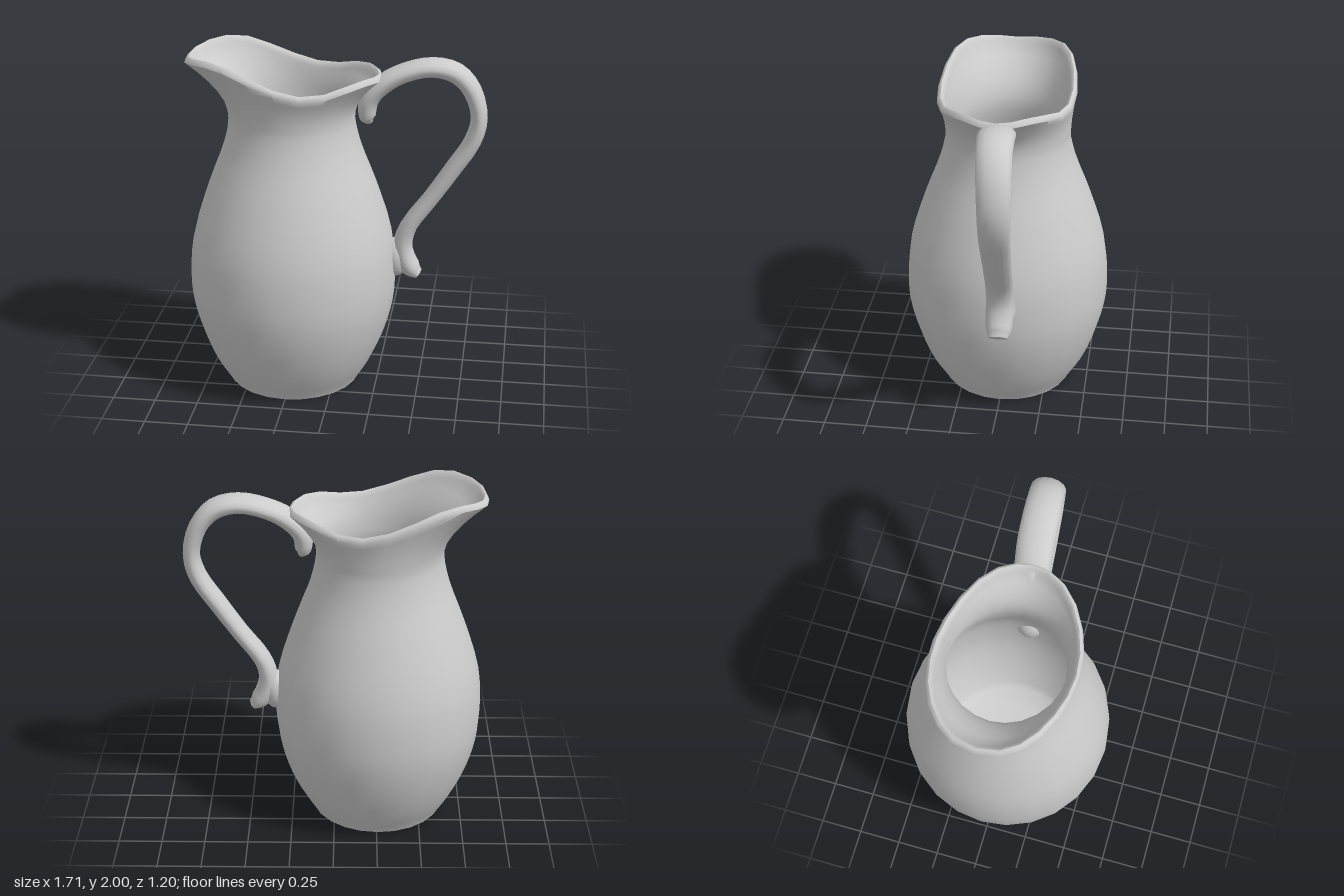
import * as THREE from 'three';
import { toCreasedNormals } from 'three/addons/utils/BufferGeometryUtils.js';

const SIDES = 24;

// Skin a list of closed rings (arrays of Vector3) into one smooth surface.
function loft(rings, crease) {
  const n = rings[0].length;
  const index = [];
  for (let r = 0; r < rings.length - 1; r++) {
    for (let i = 0; i < n; i++) {
      const j = (i + 1) % n;
      const a = r * n + i, b = r * n + j, c = a + n, d = b + n;
      index.push(a, c, b, b, c, d);
    }
  }
  const geometry = new THREE.BufferGeometry().setFromPoints(rings.flat());
  geometry.setIndex(index);
  return toCreasedNormals(geometry, crease);
}

// Round body ring: centre x, radius, height.
const CX = -0.255;
function circle(r, y) {
  return Array.from({ length: SIDES }, (_, i) => {
    const t = (i / SIDES) * Math.PI * 2;
    return new THREE.Vector3(CX + r * Math.cos(t), y, r * Math.sin(t));
  });
}

// Height of the wavy lip every 15 degrees, from handle side to spout.
const LIP_Y = [1.885, 1.89, 1.895, 1.88, 1.85, 1.845, 1.88, 1.935, 1.985, 2.0, 1.99, 1.975, 1.962];

// Lip ring, moved inward by inset and down by drop.
function lip(inset, drop) {
  return Array.from({ length: SIDES }, (_, i) => {
    const t = (i / SIDES) * Math.PI * 2;
    const c = Math.cos(t), s = Math.sin(t);
    const power = c < 0 ? 0.85 : 1.1; // broad spout, narrower handle end
    const z = Math.sign(s) * Math.pow(Math.abs(s), power);
    return new THREE.Vector3(
      -0.295 + (0.56 - inset) * c,
      LIP_Y[Math.min(i, SIDES - i)] - drop,
      0.01 + (0.4 - inset) * z
    );
  });
}

// Ring between the neck and the lip, flaring more towards the top.
function flare(neck, rim, s) {
  return neck.map((p, i) => {
    const q = rim[i], k = Math.pow(s, 1.6);
    return new THREE.Vector3(
      p.x + (q.x - p.x) * k,
      p.y + (q.y - p.y) * s,
      p.z + (q.z - p.z) * k
    );
  });
}

function bodyGeometry() {
  const wall = 0.035;
  const profile = new THREE.CatmullRomCurve3([
    [0.395, 0.015], [0.475, 0.15], [0.545, 0.32], [0.59, 0.5], [0.602, 0.66],
    [0.582, 0.9], [0.49, 1.2], [0.395, 1.45], [0.362, 1.6], [0.364, 1.66],
  ].map(([r, y]) => new THREE.Vector3(r, y, 0)));
  const side = profile.getPoints(27);

  // recessed foot, then the outer wall
  const rings = [circle(0, 0.03), circle(0.33, 0.025), circle(0.37, 0), circle(0.388, 0)];
  side.forEach((p) => rings.push(circle(p.x, p.y)));

  // flared neck and rounded lip
  const outerNeck = circle(0.364, 1.66), outerRim = lip(0, 0.03);
  [0.2, 0.4, 0.6, 0.8, 1].forEach((s) => rings.push(flare(outerNeck, outerRim, s)));
  rings.push(lip(0.008, 0.008), lip(0.022, 0), lip(0.038, 0.012));

  // inner wall down to the floor
  const innerNeck = circle(0.364 - wall, 1.66), innerRim = lip(0.045, 0.035);
  [1, 0.8, 0.6, 0.4, 0.2].forEach((s) => rings.push(flare(innerNeck, innerRim, s)));
  side.slice(2).reverse().forEach((p) => rings.push(circle(p.x - wall, p.y)));
  rings.push(circle(0.3, 0.06), circle(0, 0.055));
  return loft(rings, 0.85);
}

function handleGeometry() {
  // centre x, y, z, then half thickness and half width
  const stations = [
    [0.19, 1.6, 0.01, 0.02, 0.035],
    [0.178, 1.635, 0.01, 0.048, 0.07],
    [0.185, 1.73, 0.005, 0.056, 0.09],
    [0.26, 1.82, -0.005, 0.056, 0.1],
    [0.38, 1.887, -0.02, 0.052, 0.103],
    [0.535, 1.922, -0.03, 0.052, 0.102],
    [0.67, 1.89, -0.04, 0.055, 0.098],
    [0.76, 1.79, -0.05, 0.052, 0.095],
    [0.803, 1.63, -0.055, 0.048, 0.09],
    [0.77, 1.49, -0.053, 0.05, 0.087],
    [0.67, 1.33, -0.048, 0.05, 0.084],
    [0.54, 1.135, -0.042, 0.048, 0.08],
    [0.42, 0.965, -0.036, 0.05, 0.08],
    [0.387, 0.85, -0.034, 0.056, 0.08],
    [0.403, 0.76, -0.034, 0.06, 0.08],
    [0.44, 0.7, -0.034, 0.055, 0.075],
    [0.478, 0.665, -0.034, 0.03, 0.055],
  ];
  const path = new THREE.CatmullRomCurve3(stations.map((s) => new THREE.Vector3(s[0], s[1], s[2])));
  const size = new THREE.CatmullRomCurve3(
    stations.map((s) => new THREE.Vector3(s[3], s[4], 0)), false, 'catmullrom', 0.3);

  const steps = 48, around = 14, rings = [];
  const ring = (t, scale) => {
    const c = path.getPoint(t), d = path.getTangent(t), k = size.getPoint(t);
    const len = Math.hypot(d.x, d.y);
    return Array.from({ length: around }, (_, i) => {
      const a = (i / around) * Math.PI * 2;
      const n = (k.x * Math.cos(a) * scale) / len;
      return new THREE.Vector3(c.x + d.y * n, c.y - d.x * n, c.z + k.y * Math.sin(a) * scale);
    });
  };
  rings.push(ring(0, 0));
  for (let i = 0; i <= steps; i++) rings.push(ring(i / steps, 1));
  rings.push(ring(1, 0));
  return loft(rings, 1.0);
}

export function createModel() {
  const ceramic = new THREE.MeshStandardMaterial({ color: 0xcccccc });
  ceramic.name = 'grey ceramic';

  const model = new THREE.Group();
  model.name = 'pitcher';
  const add = (name, geometry) => {
    const mesh = new THREE.Mesh(geometry, ceramic);
    mesh.name = name;
    model.add(mesh);
    return mesh;
  };

  add('body', bodyGeometry());
  add('handle', handleGeometry());

  // soft swelling where the handle meets the body
  const root = add('handleRoot', new THREE.SphereGeometry(1, 16, 12));
  root.scale.set(0.075, 0.12, 0.085);
  root.position.set(0.345, 0.765, -0.034);

  return model;
}
